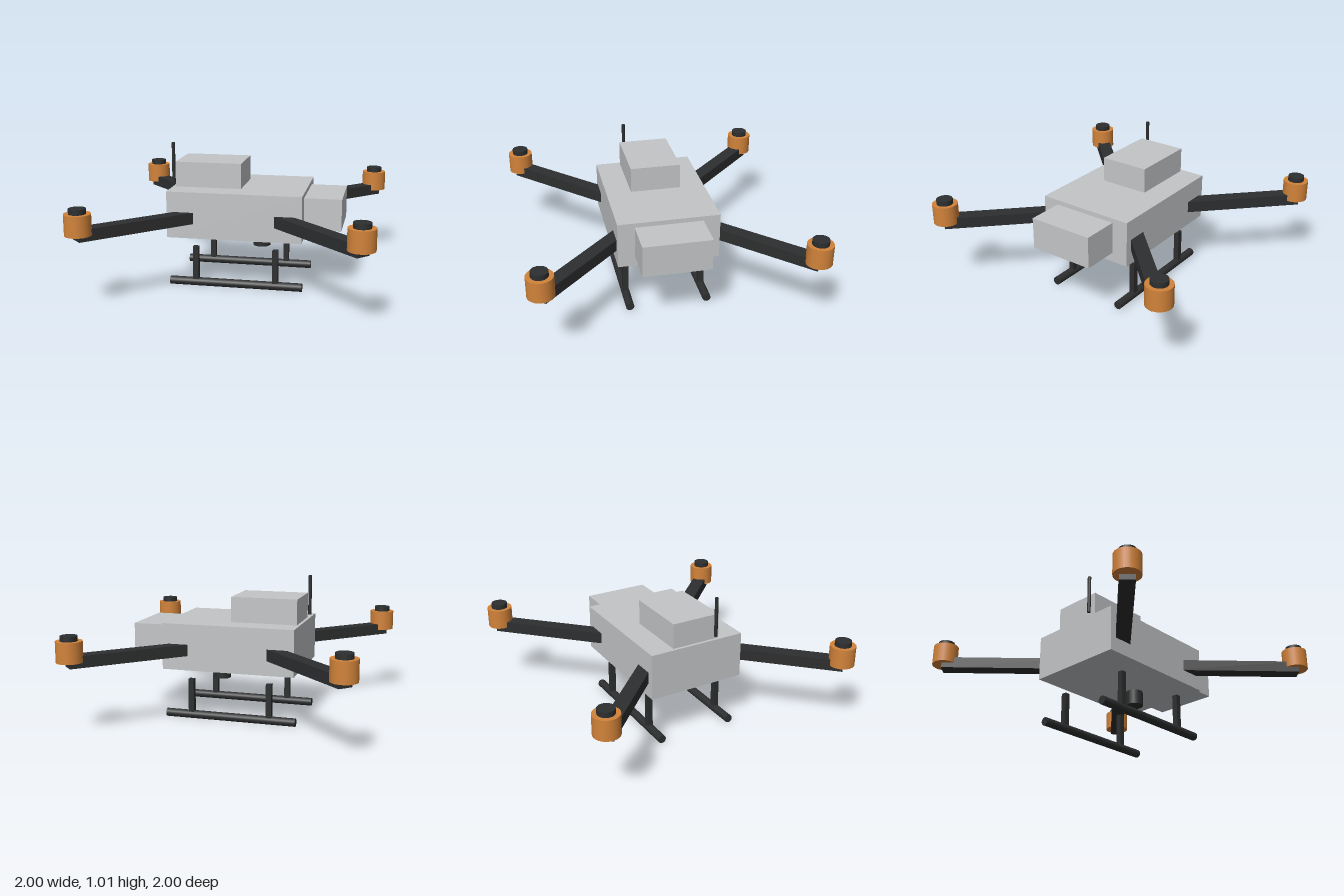
import * as THREE from 'three';

export function createModel() {
  const drone = new THREE.Group();
  drone.name = 'quadcopter';

  const material = (name, color) => {
    const m = new THREE.MeshStandardMaterial({ color });
    m.name = name;
    return m;
  };
  const grey = material('light grey shell', 0xc3c5c7);
  const dark = material('dark frame', 0x2d2e2f);
  const orange = material('orange motor', 0xd2833a);

  const add = (name, geometry, mat, x, y, z, parent = drone) => {
    const mesh = new THREE.Mesh(geometry, mat);
    mesh.name = name;
    mesh.position.set(x, y, z);
    parent.add(mesh);
    return mesh;
  };
  // Box and upright cylinder placed by their bottom and top heights
  const box = (name, mat, w, d, y0, y1, x, z, parent) =>
    add(name, new THREE.BoxGeometry(w, y1 - y0, d), mat, x, (y0 + y1) / 2, z, parent);
  const post = (name, mat, r, y0, y1, x, z, sides, parent) =>
    add(name, new THREE.CylinderGeometry(r, r, y1 - y0, sides), mat, x, (y0 + y1) / 2, z, parent);

  // Hull, battery on top and payload at the +x end
  box('body', grey, 0.953, 0.714, 0.37, 0.7, 0, 0);
  box('battery', grey, 0.476, 0.358, 0.7, 0.88, -0.217, 0);
  box('payload', grey, 0.262, 0.476, 0.44, 0.667, 0.607, 0);

  // Four diagonal arms, each with a motor and a cap
  const inner = 0.36, outer = 1.302, motorRadius = 0.91 * Math.SQRT2;
  for (let i = 0; i < 4; i++) {
    const rotor = new THREE.Group();
    rotor.name = 'rotorArm' + (i + 1);
    rotor.rotation.y = Math.PI / 4 + (i * Math.PI) / 2;
    drone.add(rotor);
    box('arm', dark, outer - inner, 0.1, 0.474, 0.555, (inner + outer) / 2, 0, rotor);
    post('motor', orange, 0.09, 0.512, 0.655, motorRadius, 0, 24, rotor);
    post('motorCap', dark, 0.058, 0.655, 0.69, motorRadius, 0, 24, rotor);
  }

  // Landing skids with two struts each
  for (const side of [-1, 1]) {
    const skid = add('skid', new THREE.CylinderGeometry(0.03, 0.03, 0.953, 12), dark, 0, 0.03, side * 0.278);
    skid.rotation.z = Math.PI / 2;
    for (const end of [-1, 1]) {
      box('strut', dark, 0.04, 0.04, 0.045, 0.293, end * 0.286, side * 0.278);
    }
  }

  // Camera below and antenna at the -x end
  post('camera', dark, 0.062, 0.25, 0.357, 0.143, 0, 20);
  post('antenna', dark, 0.0125, 0.727, 1.012, -0.478, 0.143, 8);

  return drone;
}
